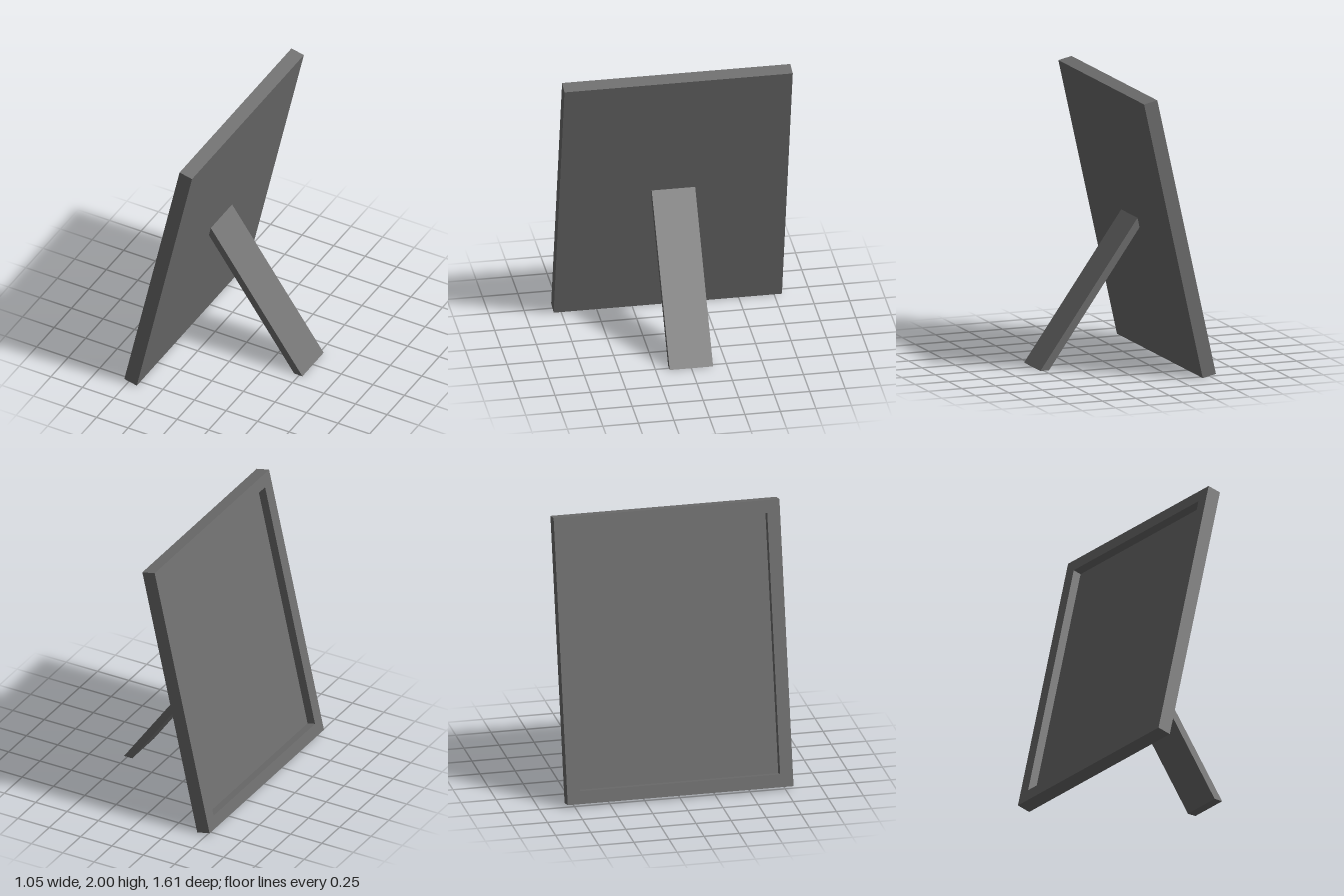
import * as THREE from 'three';

const WIDTH = 1.608, HEIGHT = 2.022, BORDER = 0.091;
const RIM_DEPTH = 0.061, BACK_DEPTH = 0.04, TILT = 0.2183;

// Rectangle centred on x, from y0 to y1
function rectangle(Type, halfWidth, y0, y1) {
  return new Type([[-halfWidth, y0], [halfWidth, y0], [halfWidth, y1], [-halfWidth, y1]]
    .map(([x, y]) => new THREE.Vector2(x, y)));
}

export function createModel() {
  const model = new THREE.Group();
  model.name = 'pictureFrame';
  const material = new THREE.MeshStandardMaterial({ color: 0x6f6f6f, flatShading: true });

  function addPart(parent, name, geometry) {
    const mesh = new THREE.Mesh(geometry, material);
    mesh.name = name;
    parent.add(mesh);
  }

  // Leaning panel: its picture side faces -x, its lower front edge is the pivot
  const panel = new THREE.Group();
  panel.name = 'panel';
  panel.position.set(-0.526, 0.025, 0);
  panel.rotation.z = -TILT;
  model.add(panel);

  // Raised rim around the picture opening
  const rimShape = rectangle(THREE.Shape, WIDTH / 2, 0, HEIGHT);
  rimShape.holes.push(rectangle(THREE.Path, WIDTH / 2 - BORDER, BORDER, HEIGHT - BORDER));
  const rim = new THREE.ExtrudeGeometry(rimShape, { depth: RIM_DEPTH, bevelEnabled: false });
  rim.rotateY(Math.PI / 2);
  addPart(panel, 'rim', rim);

  // Backing board that closes the recess
  const backing = new THREE.BoxGeometry(BACK_DEPTH, HEIGHT, WIDTH);
  backing.translate(RIM_DEPTH + BACK_DEPTH / 2, HEIGHT / 2, 0);
  addPart(panel, 'backingBoard', backing);

  // Support leg, cut to meet the back of the panel and the ground
  const legWidth = 0.306;
  const legShape = new THREE.Shape([[-0.2, 1.03], [-0.215, 0.962], [0.461, 0], [0.526, 0]]
    .map(([x, y]) => new THREE.Vector2(x, y)));
  const leg = new THREE.ExtrudeGeometry(legShape, { depth: legWidth, bevelEnabled: false });
  leg.translate(0, 0, -legWidth / 2);
  addPart(model, 'supportLeg', leg);

  return model;
}
